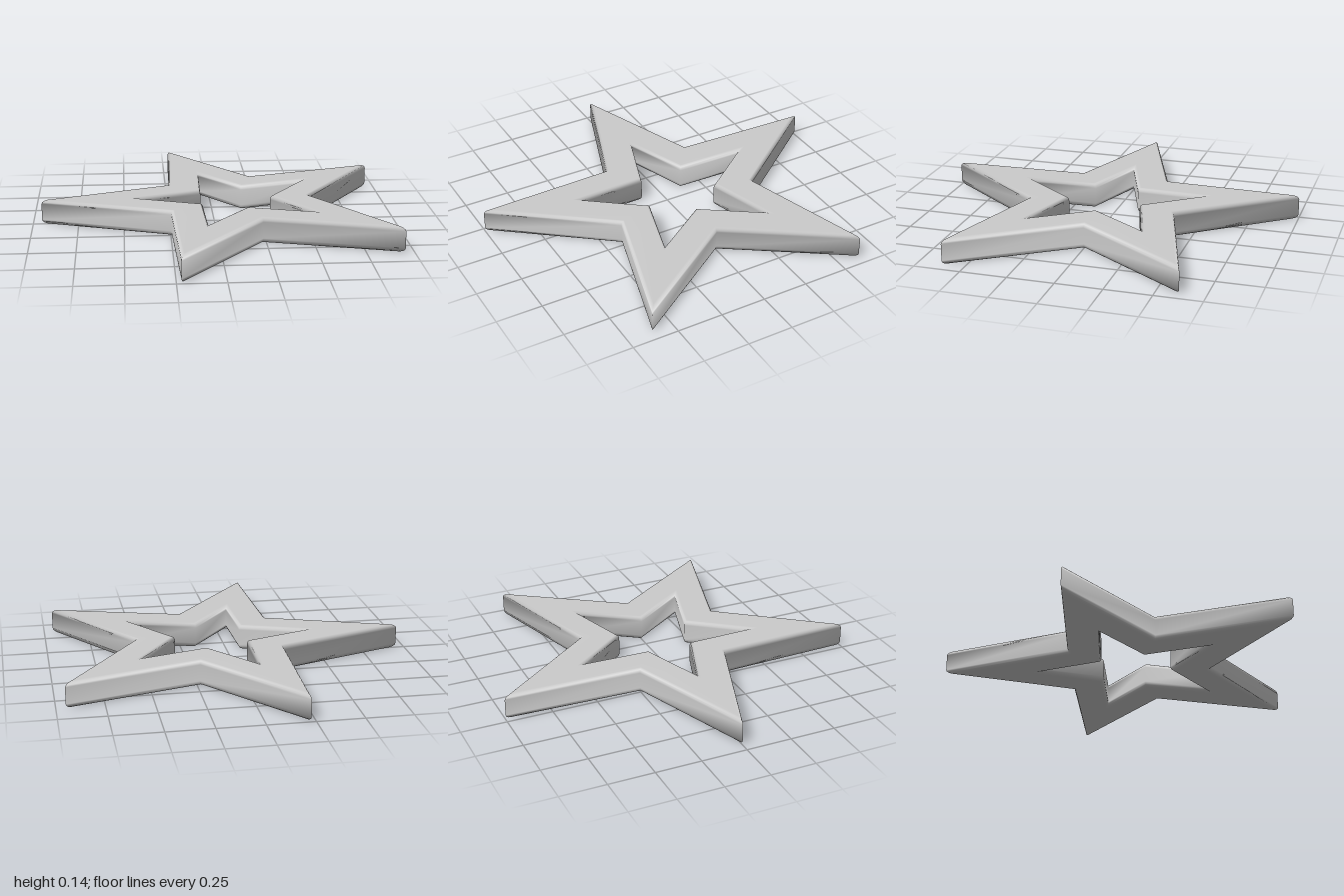
import * as THREE from 'three';

const HEIGHT = 0.14;
const CENTRE_X = 0.1;
const OUTER = { tip: 1.051, valley: 0.43 };
const HOLE = { tip: 0.52, valley: 0.21 };

// Rounded-rectangle section: u runs from the hole (0) to the outer edge (1), y is height
function sectionPoints(ru = 0.1, ry = 0.025, steps = 4) {
  const corners = [[1 - ru, ry, -90], [1 - ru, HEIGHT - ry, 0], [ru, HEIGHT - ry, 90], [ru, ry, 180]];
  const points = [];
  for (const [u, y, start] of corners) {
    for (let i = 0; i <= steps; i++) {
      const a = THREE.MathUtils.degToRad(start + (90 * i) / steps);
      points.push([u + ru * Math.cos(a), y + ry * Math.sin(a)]);
    }
  }
  return points;
}

// Sweep the section around the ten corners of the star, mitred at each corner
function starRingGeometry() {
  const section = sectionPoints();
  const n = section.length;
  const corners = 10;
  const positions = [];
  const indices = [];
  for (let k = 0; k < corners; k++) {
    const angle = (k * Math.PI) / 5;
    const kind = k % 2 === 0 ? 'tip' : 'valley';
    for (const [u, y] of section) {
      const r = THREE.MathUtils.lerp(HOLE[kind], OUTER[kind], u);
      positions.push(CENTRE_X - r * Math.cos(angle), y, r * Math.sin(angle));
    }
    const next = (k + 1) % corners;
    for (let j = 0; j < n; j++) {
      const a = k * n + j;
      const b = next * n + j;
      const c = next * n + ((j + 1) % n);
      const d = k * n + ((j + 1) % n);
      indices.push(a, b, c, a, c, d);
    }
  }
  const geometry = new THREE.BufferGeometry();
  geometry.setAttribute('position', new THREE.Float32BufferAttribute(positions, 3));
  geometry.setIndex(indices);
  geometry.computeVertexNormals();
  return geometry;
}

export function createModel() {
  const group = new THREE.Group();
  group.name = 'star';
  const ring = new THREE.Mesh(starRingGeometry(), new THREE.MeshStandardMaterial({ color: 0xcccccc }));
  ring.name = 'starRing';
  group.add(ring);
  return group;
}
